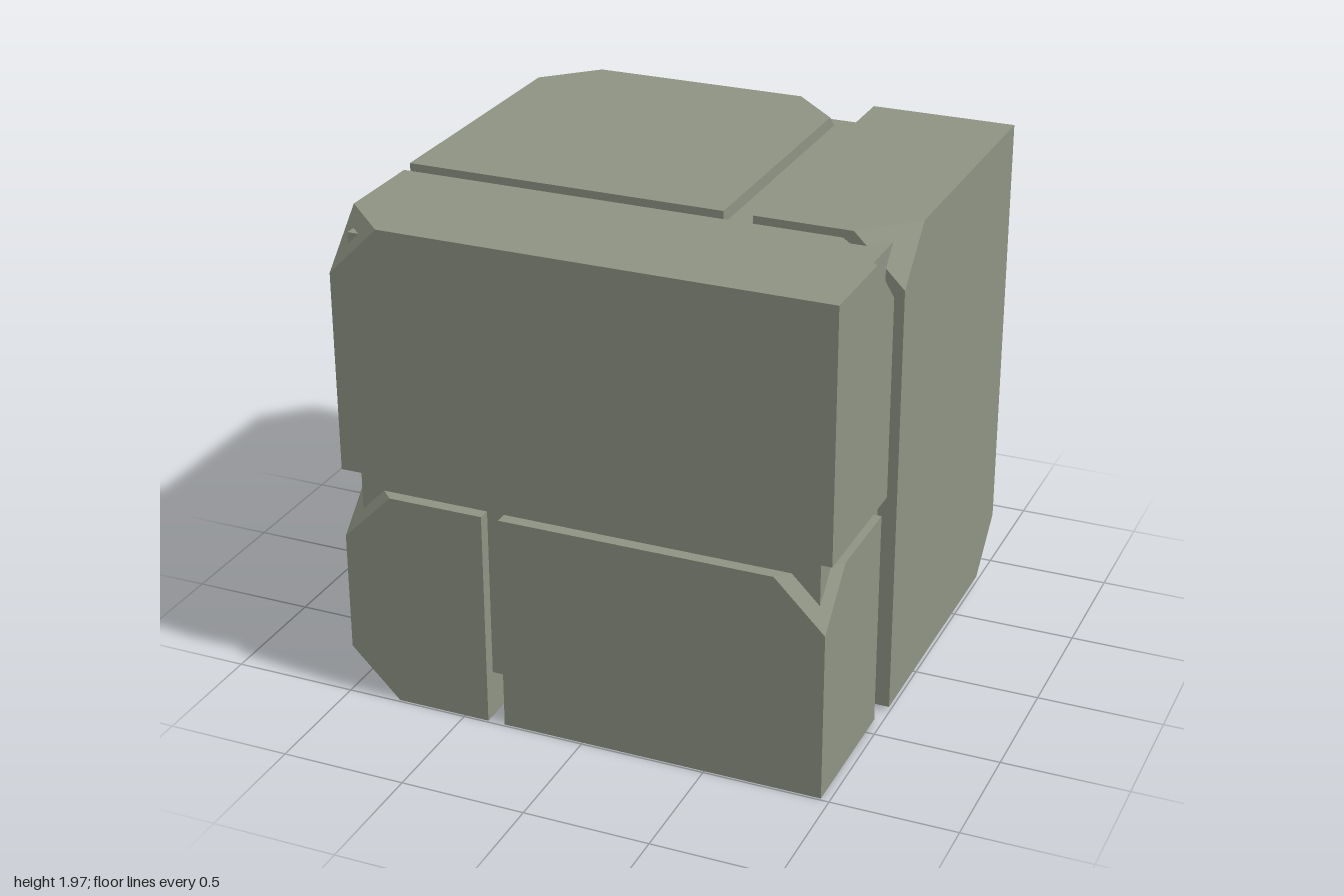
import * as THREE from 'three';
import { ConvexGeometry } from 'three/addons/geometries/ConvexGeometry.js';

const CUT = 0.2; // size of the chipped corners

// Box between two corners; `cuts` lists corners to chip off, as [x, y, z] signs.
function chippedBox(min, max, cuts = []) {
  const points = [];
  for (const sx of [-1, 1]) for (const sy of [-1, 1]) for (const sz of [-1, 1]) {
    const s = [sx, sy, sz];
    const corner = s.map((v, i) => (v < 0 ? min[i] : max[i]));
    if (cuts.some((c) => c.every((v, i) => v === s[i]))) {
      for (let i = 0; i < 3; i++) {
        const p = new THREE.Vector3(...corner);
        p.setComponent(i, corner[i] - s[i] * CUT);
        points.push(p);
      }
    } else {
      points.push(new THREE.Vector3(...corner));
    }
  }
  return new ConvexGeometry(points);
}

export function createModel() {
  const model = new THREE.Group();
  model.name = 'interlockingStoneCube';
  const stone = new THREE.MeshStandardMaterial({ color: 0x909484 });
  stone.name = 'greyStone';

  const add = (parent, name, min, max, cuts) => {
    const mesh = new THREE.Mesh(chippedBox(min, max, cuts), stone);
    mesh.name = name;
    parent.add(mesh);
  };

  // Inner core seen through the grooves and one chipped corner
  add(model, 'core', [-0.93, 0.19, -0.915], [0.925, 1.92, 0.94]);

  // Beam along the top front
  add(model, 'topFrontBeam', [-0.985, 0.97, 0.405], [0.985, 1.97, 0.99],
    [[-1, 1, 1], [1, 1, -1]]);

  // Full-height slab at the back on the +x side
  add(model, 'tallSideSlab', [0.41, 0.025, -0.995], [1, 1.97, 0.33],
    [[1, 1, 1], [1, -1, -1]]);

  // Upper back block
  add(model, 'upperBackBlock', [-1, 0.97, -0.995], [0.295, 1.97, 0.33],
    [[-1, 1, -1], [1, 1, -1]]);

  // Lower front block
  add(model, 'lowerFrontBlock', [-0.33, 0, 0.4], [0.965, 0.885, 0.99],
    [[1, 1, 1]]);

  // L-shaped lower block, made of a back slab and a front arm
  const base = new THREE.Group();
  base.name = 'lowerCornerBlock';
  add(base, 'lowerBackSlab', [-0.985, 0, -0.985], [0.375, 0.885, 0.315],
    [[-1, 1, -1]]);
  add(base, 'lowerFrontArm', [-0.985, 0, 0.315], [-0.4, 0.885, 0.99],
    [[-1, 1, 1], [-1, -1, 1]]);
  model.add(base);

  return model;
}
